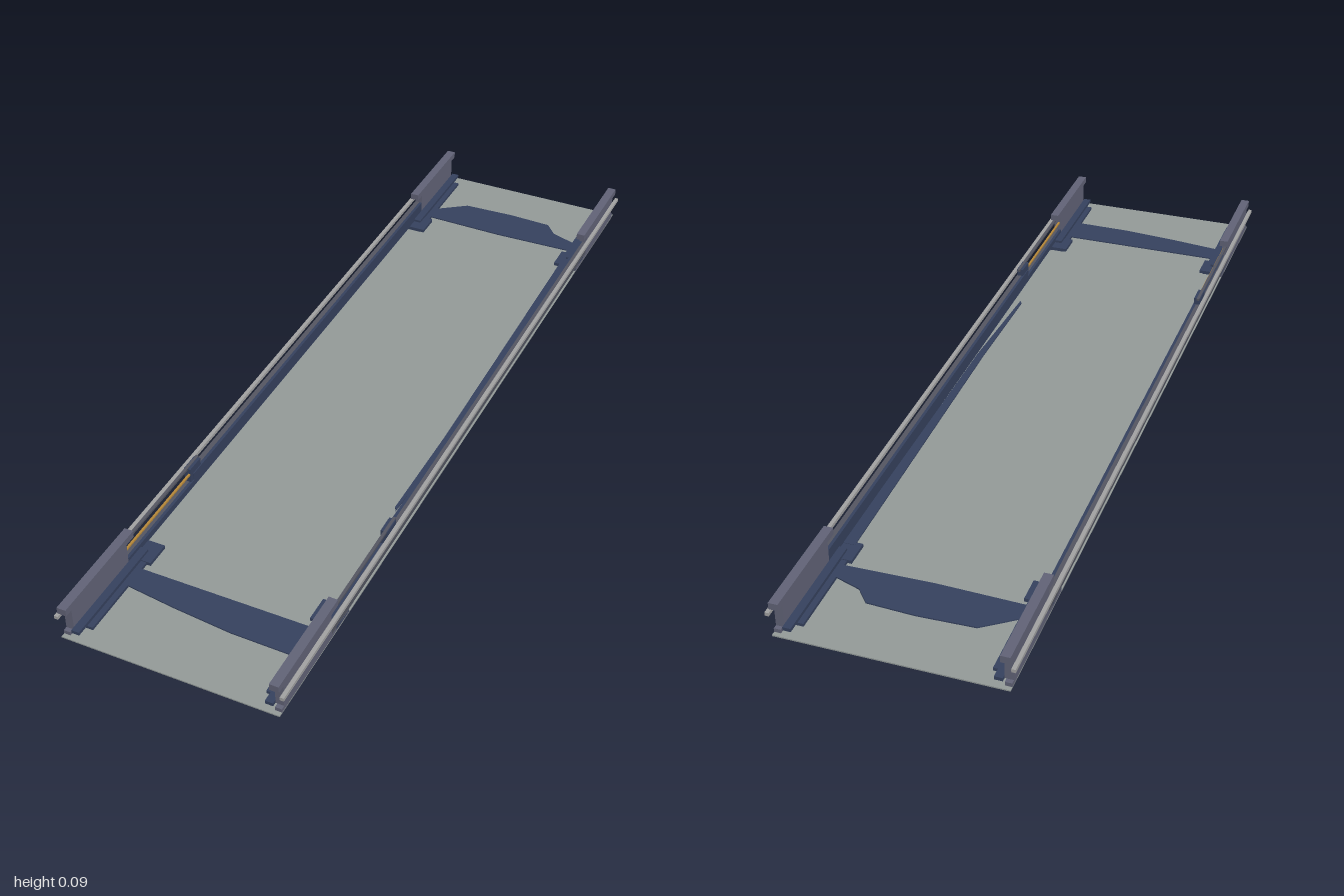
import * as THREE from 'three';

const mat = (name, color, side = THREE.FrontSide) => {
  const m = new THREE.MeshStandardMaterial({ color, side });
  m.name = name;
  return m;
};

export function createModel() {
  const root = new THREE.Group();
  root.name = 'slidingTray';
  const floorGrey = mat('floorGrey', 0x959c9a);
  const steel = mat('steel', 0x626478);
  const darkSteel = mat('darkSteel', 0x555762);
  const navy = mat('navy', 0x36425f, THREE.DoubleSide);
  const railGrey = mat('railGrey', 0xa3a3a3);
  const brass = mat('brass', 0xb8893a);

  // Box given by its limits on each axis
  const box = (name, material, x0, x1, y0, y1, z0, z1) => {
    const mesh = new THREE.Mesh(
      new THREE.BoxGeometry(Math.abs(x1 - x0), y1 - y0, Math.abs(z1 - z0)), material);
    mesh.position.set((x0 + x1) / 2, (y0 + y1) / 2, (z0 + z1) / 2);
    mesh.name = name;
    root.add(mesh);
  };

  // Thin flat sheet from an outline of x, z points
  const sheet = (name, points, y, thickness) => {
    const shape = new THREE.Shape(points.map(([x, z]) => new THREE.Vector2(x, -z)));
    const geo = new THREE.ExtrudeGeometry(shape, { depth: thickness, bevelEnabled: false });
    geo.rotateX(-Math.PI / 2);
    const mesh = new THREE.Mesh(geo, navy);
    mesh.position.y = y;
    mesh.name = name;
    root.add(mesh);
  };

  // Floor panel
  box('floorPanel', floorGrey, -0.25, 0.25, 0, 0.003, -1, 1);

  // Cross straps at both ends
  sheet('backStrap', [[-0.2, -0.765], [-0.2, -0.81], [-0.13, -0.86], [0, -0.865],
    [0.11, -0.86], [0.14, -0.825], [0.2, -0.805], [0.2, -0.765], [0, -0.76]], 0.009, 0.003);
  sheet('frontStrap', [[-0.2, 0.77], [0.2, 0.77], [0.2, 0.855], [0.06, 0.853],
    [-0.08, 0.84], [-0.2, 0.825]], 0.009, 0.003);

  // Tapered inner strip, on the left side only
  sheet('innerStrip', [[0.205, -0.7], [0.232, -0.7], [0.228, 0.1], [0.214, 0.38],
    [0.208, 0.37], [0.212, 0.1]], 0.012, 0.003);

  for (const s of [-1, 1]) {
    // Outer rail and the sill below it
    box('guideRail', railGrey, s * 0.252, s * 0.261, 0.05, 0.058, -1, 1);
    box('lowerSill', darkSteel, s * 0.238, s * 0.25, 0.012, 0.028, -0.77, 0.77);
    box('lowerSillLining', navy, s * 0.231, s * 0.238, 0.012, 0.028, -0.77, 0.77);
    box('upperSill', darkSteel, s * 0.238, s * 0.25, 0.028, 0.046, -0.77, 0.49);
    box('upperSillLining', navy, s * 0.231, s * 0.238, 0.028, 0.046, -0.77, 0.49);

    // Bracket with its rods near the front
    box('rodBracket', navy, s * 0.233, s * 0.249, 0.028, 0.064, 0.455, 0.5);
    box('upperRod', darkSteel, s * 0.24, s * 0.247, 0.06, 0.065, 0.45, 0.78);
    box('brassRod', brass, s * 0.234, s * 0.239, 0.047, 0.051, 0.49, 0.78);

    for (const e of [-1, 1]) {
      // Corner post with overhanging cap and bottom flange
      box('postWeb', steel, s * 0.231, s * 0.25, 0.012, 0.069, e * 0.77, e * 0.98);
      box('postCap', steel, s * 0.23, s * 0.251, 0.069, 0.085, e * 0.742, e);
      box('postFlange', steel, s * 0.235, s * 0.25, 0.003, 0.012, e * 0.69, e * 0.99);
      // Foot plates inside the post
      box('footPlate', navy, s * 0.2, s * 0.235, 0.005, 0.012, e * 0.69, e * 0.96);
      box('footRib', navy, s * 0.213, s * 0.231, 0.012, 0.02, e * 0.72, e * 0.99);
      box('footPad', navy, s * 0.19, s * 0.25, 0.006, 0.014, e * 0.69, e * 0.75);
    }
  }
  return root;
}
